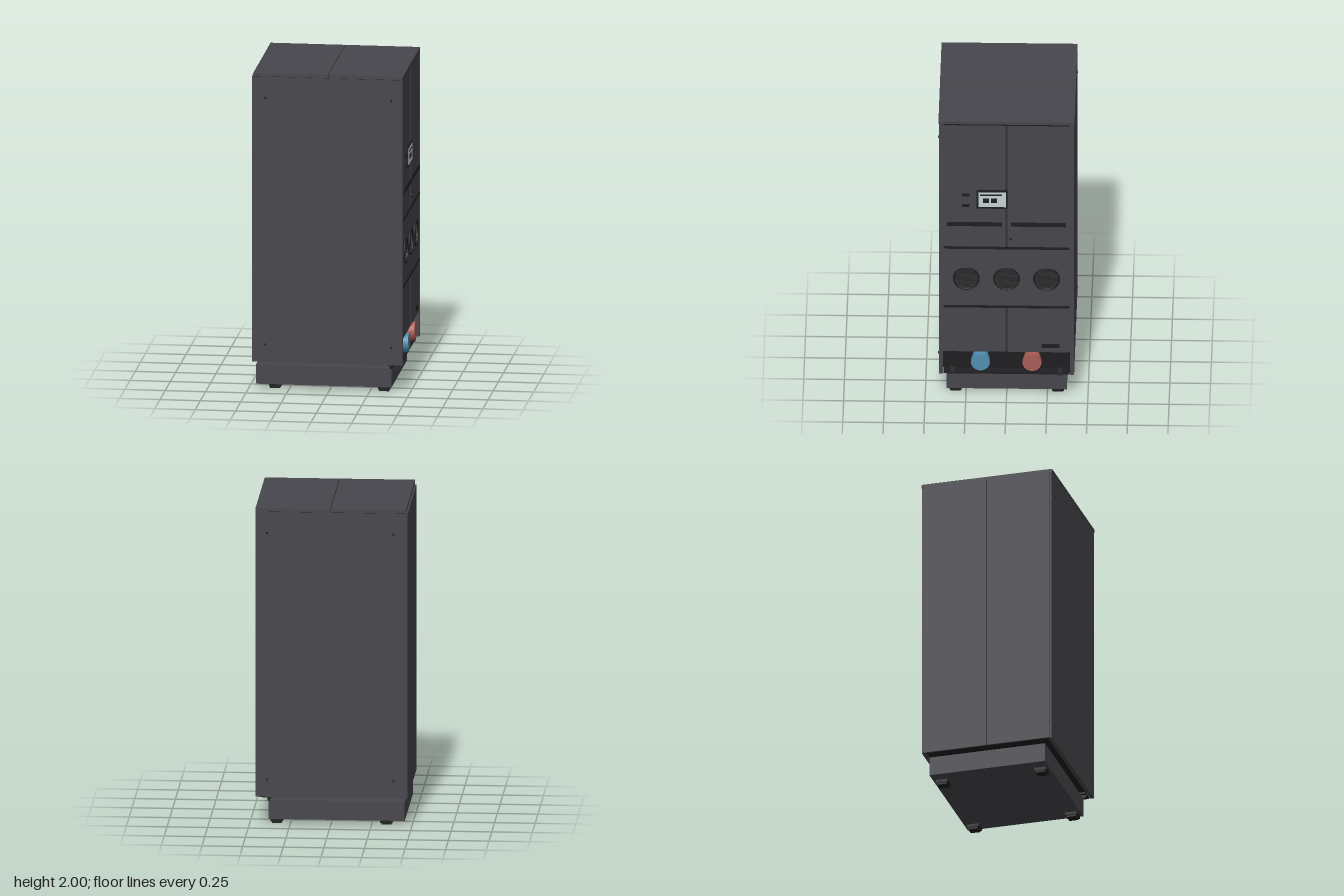
import * as THREE from 'three';

const mat = (name, color) => {
  const m = new THREE.MeshStandardMaterial({ color });
  m.name = name;
  return m;
};

export function createModel() {
  const root = new THREE.Group();
  root.name = 'cabinet';
  const casing = mat('casing grey', 0x47464c);
  const seam = mat('seam grey', 0x302f36);
  const black = mat('trim black', 0x1f1f21);
  const slatGrey = mat('grille grey', 0x2b2b2d);
  const screenMat = mat('screen pale', 0xc6d3d5);
  const blue = mat('cold blue', 0x4f8fb0);
  const red = mat('hot red', 0xab5d57);

  const add = (name, geo, m, x = 0, y = 0, z = 0) => {
    const mesh = new THREE.Mesh(geo, m);
    mesh.name = name;
    mesh.position.set(x, y, z);
    root.add(mesh);
    return mesh;
  };
  // box given by its limits
  const box = (name, m, x0, x1, y0, y1, z0, z1) => add(name,
    new THREE.BoxGeometry(x1 - x0, y1 - y0, z1 - z0), m,
    (x0 + x1) / 2, (y0 + y1) / 2, (z0 + z1) / 2);
  // cylinder lying along x
  const rod = (name, m, r, x0, x1, y, z, sides = 32) => add(name,
    new THREE.CylinderGeometry(r, r, x1 - x0, sides).rotateZ(-Math.PI / 2), m, (x0 + x1) / 2, y, z);

  // plinth and feet
  box('plinth', casing, -0.455, 0.385, 0.03, 0.15, -0.37, 0.37);
  for (const x of [-0.34, 0.335]) for (const z of [-0.315, 0.315]) {
    box('foot', black, x - 0.037, x + 0.037, 0.01, 0.03, z - 0.037, z + 0.037);
    box('footPad', black, x - 0.03, x + 0.03, 0, 0.01, z - 0.03, z + 0.03);
  }

  // inner frame, seen in seams and as the back of the pipe recess
  box('innerFrame', black, -0.464, 0.385, 0.185, 1.978, -0.39, 0.39);

  // side walls with corner screws
  for (const s of [-1, 1]) {
    const z0 = s > 0 ? 0.39 : -0.416;
    box('sideWall', casing, -0.465, 0.46, 0.18, 1.978, z0, z0 + 0.026);
    for (const x of [-0.39, 0.39]) for (const y of [0.29, 1.845]) {
      add('screw', new THREE.CylinderGeometry(0.007, 0.007, 0.006, 12).rotateX(Math.PI / 2),
        black, x, y, s * 0.418);
    }
    // back panels
    box('backPanel', casing, -0.475, -0.464, 0.178, 1.975, s > 0 ? 0.003 : -0.402, s > 0 ? 0.402 : -0.003);
    // lid halves
    box('lid', casing, s > 0 ? 0.002 : -0.465, s > 0 ? 0.461 : -0.002, 1.98, 2, -0.418, 0.418);
  }
  box('lidSeam', black, -0.463, 0.459, 1.974, 1.99, -0.415, 0.415);

  // service doors above and below the fan panel
  const doors = [[1.09, 1.97], [0.34, 0.66]];
  for (const [y0, y1] of doors) {
    box('doorSeam', seam, 0.38, 0.45, y0, y1, -0.01, 0.01);
    box('door', casing, 0.38, 0.457, y0, y1, 0.006, 0.39);
    box('door', casing, 0.38, 0.457, y0, y1, -0.39, -0.006);
  }
  for (const y of [0.666, 1.089]) box('panelStrip', black, 0.38, 0.461, y - 0.008, y + 0.008, -0.388, 0.388);
  box('topStrip', black, 0.38, 0.457, 1.968, 1.98, -0.388, 0.388);

  // fan panel with three round openings
  const fans = [0.247, 0, -0.247];
  const fanY = 0.868, fanR = 0.083;
  const plate = new THREE.Shape();
  plate.moveTo(-0.39, 0.672).lineTo(0.39, 0.672).lineTo(0.39, 1.083).lineTo(-0.39, 1.083).closePath();
  for (const z of fans) plate.holes.push(new THREE.Path().absarc(-z, fanY, fanR - 0.004, 0, Math.PI * 2, true));
  add('fanPanel', new THREE.ExtrudeGeometry(plate, { depth: 0.077, bevelEnabled: false, curveSegments: 32 })
    .rotateY(Math.PI / 2), casing, 0.38);
  for (const z of fans) {
    rod('fanBack', black, fanR - 0.004, 0.38, 0.425, fanY, z);
    add('fanRing', new THREE.TorusGeometry(fanR - 0.005, 0.005, 8, 40).rotateY(Math.PI / 2), black, 0.459, fanY, z);
    for (let i = -5; i <= 5; i++) {
      const d = i * 0.0135;
      const w = Math.sqrt((fanR - 0.005) ** 2 - d * d);
      box('fanSlat', slatGrey, 0.444, 0.452, fanY + d - 0.0035, fanY + d + 0.0035, z - w, z + w);
    }
    for (const d of [-0.04, 0, 0.04]) {
      const h = Math.sqrt((fanR - 0.005) ** 2 - d * d);
      box('fanBar', black, 0.438, 0.444, fanY - h, fanY + h, z + d - 0.003, z + d + 0.003);
    }
  }

  // door handles, lock, vent slot and buttons
  for (const s of [-1, 1]) {
    const z = s * 0.197;
    box('handle', black, 0.45, 0.464, 1.247, 1.273, z - 0.169, z + 0.169);
  }
  rod('lock', black, 0.008, 0.45, 0.464, 1.155, -0.026, 16);
  box('ventSlot', black, 0.45, 0.461, 0.374, 0.4, -0.327, -0.217);
  for (const y of [1.394, 1.469]) box('button', black, 0.45, 0.463, y - 0.008, y + 0.008, 0.228, 0.272);

  // display with icons
  box('displayFrame', black, 0.45, 0.466, 1.376, 1.506, -0.005, 0.184);
  box('screen', screenMat, 0.46, 0.468, 1.389, 1.494, 0.003, 0.172);
  box('screenBar', black, 0.466, 0.469, 1.47, 1.48, 0.027, 0.162);
  for (const z of [0.125, 0.077]) box('screenIcon', black, 0.466, 0.469, 1.42, 1.45, z - 0.018, z + 0.018);

  // pipe recess panel, lip, brackets and water connections
  box('recessPanel', black, 0.375, 0.388, 0.15, 0.34, -0.388, 0.388);
  box('recessLip', black, 0.36, 0.44, 0.17, 0.182, -0.388, 0.388);
  for (const z of [-0.33, 0.33]) box('bracket', slatGrey, 0.385, 0.444, 0.166, 0.19, z - 0.014, z + 0.014);
  for (const [z, m, name] of [[0.16, blue, 'coldPipe'], [-0.157, red, 'hotPipe']]) {
    rod(name, m, 0.05, 0.38, 0.44, 0.268, z);
    rod(name + 'Cap', m, 0.058, 0.435, 0.467, 0.268, z);
  }
  return root;
}
